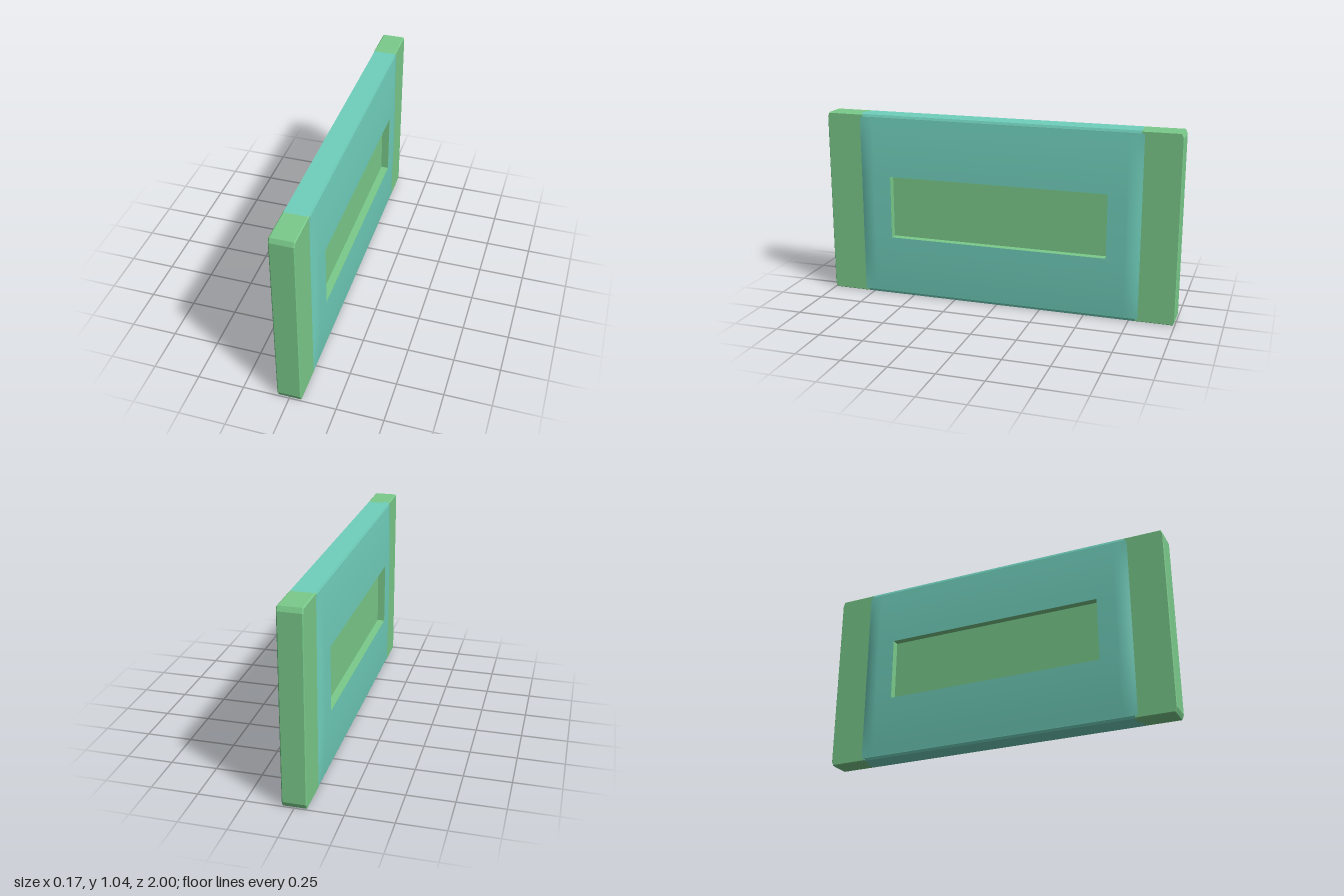
import * as THREE from 'three';

const H = 1.045, MID = H / 2;
const HOLE = { z: 0.62, y0: 0.345, y1: 0.7 };
const green = new THREE.MeshStandardMaterial({ color: 0x7acb8b });
const teal = new THREE.MeshStandardMaterial({ color: 0x70cfbc });

function mesh(name, geometry, material) {
  const m = new THREE.Mesh(geometry, material);
  m.name = name;
  return m;
}

const rect = (C, z0, y0, z1, y1) => new C([[z0, y0], [z1, y0], [z1, y1], [z0, y1]].map(p => new THREE.Vector2(...p)));

// Extrudes a (z, y) outline across x, centred, with an inward bevel
function slab(shape, width, thick = 0, size = 0) {
  const g = new THREE.ExtrudeGeometry(shape, {
    depth: width - 2 * thick, bevelEnabled: thick > 0, bevelThickness: thick,
    bevelSize: size, bevelOffset: -size, bevelSegments: 1,
  });
  g.translate(0, 0, thick - width / 2);
  g.rotateY(-Math.PI / 2);
  return g;
}

// Evenly divided coordinates between successive stops
function divide(stops, counts) {
  const out = [stops[0]];
  counts.forEach((n, i) => {
    for (let k = 1; k <= n; k++) out.push(stops[i] + (stops[i + 1] - stops[i]) * k / n);
  });
  return out;
}

// Softly bulging face with a rectangular opening
function panelGeometry() {
  const ys = divide([0.016, HOLE.y0, HOLE.y1, H - 0.016], [10, 4, 10]);
  const zs = divide([-0.8, -0.72, -HOLE.z, HOLE.z, 0.72, 0.8], [6, 1, 4, 1, 6]);
  const pos = [], idx = [];
  for (const y of ys) for (const z of zs) {
    const f = 1 - Math.pow(Math.abs(y - MID) / MID, 2.5);
    const t = Math.min(1, (0.8 - Math.abs(z)) / 0.08);
    pos.push(0.0655 + 0.0175 * f * (1 - (1 - t) ** 2), y, z);
  }
  const n = zs.length;
  for (let j = 0; j < ys.length - 1; j++) for (let i = 0; i < n - 1; i++) {
    const cy = (ys[j] + ys[j + 1]) / 2, cz = (zs[i] + zs[i + 1]) / 2;
    if (cy > HOLE.y0 && cy < HOLE.y1 && Math.abs(cz) < HOLE.z) continue;
    const a = j * n + i, b = a + 1, c = a + n, d = c + 1;
    idx.push(a, c, b, b, c, d);
  }
  const g = new THREE.BufferGeometry();
  g.setAttribute('position', new THREE.Float32BufferAttribute(pos, 3));
  g.setIndex(idx);
  g.computeVertexNormals();
  return g;
}

export function createModel() {
  const group = new THREE.Group();
  group.name = 'slab';

  // Middle band with an opening through it
  const band = rect(THREE.Shape, -0.8, 0, 0.8, H);
  band.holes.push(rect(THREE.Path, -HOLE.z - 0.005, HOLE.y0 - 0.005, HOLE.z + 0.005, HOLE.y1 + 0.005));
  group.add(mesh('middleBand', slab(band, 0.13, 0.005, 0.014), teal));

  // Recess walls and floor, shared by both faces
  const walls = rect(THREE.Shape, -HOLE.z - 0.02, HOLE.y0 - 0.02, HOLE.z + 0.02, HOLE.y1 + 0.02);
  walls.holes.push(rect(THREE.Path, -HOLE.z, HOLE.y0, HOLE.z, HOLE.y1));
  group.add(mesh('recessWalls', slab(walls, 0.1625), green));
  const floor = rect(THREE.Shape, -HOLE.z - 0.01, HOLE.y0 - 0.01, HOLE.z + 0.01, HOLE.y1 + 0.01);
  group.add(mesh('recessFloor', slab(floor, 0.08), green));

  // Bulging side panels and chamfered end caps
  const cap = new THREE.Shape([
    [0.78, 0], [0.99, 0], [1, 0.025], [1, H - 0.025], [0.99, H], [0.78, H],
  ].map(p => new THREE.Vector2(...p)));
  const panel = panelGeometry(), capGeometry = slab(cap, 0.128, 0.005, 0.004);
  ['left', 'right'].forEach((side, i) => {
    const p = mesh(side + 'Panel', panel, teal);
    p.rotation.y = i * Math.PI;
    group.add(p);
    const c = mesh(i ? 'backCap' : 'frontCap', capGeometry, green);
    c.rotation.y = i * Math.PI;
    group.add(c);
  });
  return group;
}
